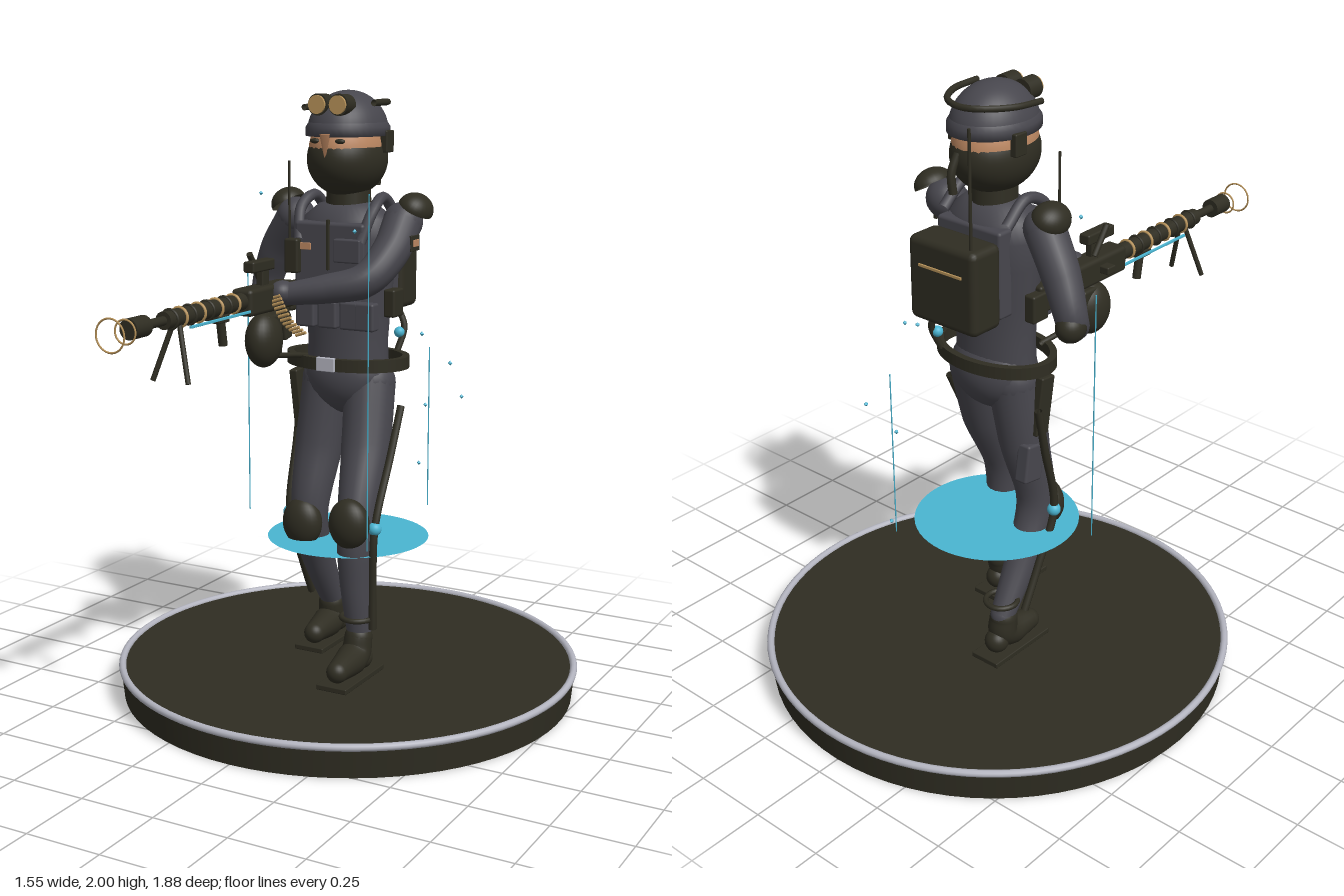
import * as THREE from 'three';
import { RoundedBoxGeometry } from 'three/addons/geometries/RoundedBoxGeometry.js';

export function createModel() {
  const root = new THREE.Group();
  root.name = 'armouredSoldier';
  const mat = (name, color, side = THREE.FrontSide) => {
    const m = new THREE.MeshStandardMaterial({ color, side });
    m.name = name;
    return m;
  };
  const fabric = mat('slateFabric', 0x47464d), olive = mat('darkOlive', 0x2f2d22, THREE.DoubleSide);
  const silver = mat('silver', 0xb4b5c0), gold = mat('brass', 0xb8935a);
  const skin = mat('skin', 0xbd8862), cyan = mat('glowCyan', 0x4ab5d2, THREE.DoubleSide);
  const V = (a) => new THREE.Vector3(...a);

  // Helpers
  const add = (name, geo, m, p = [0, 0, 0], r = [0, 0, 0], s = [1, 1, 1]) => {
    const mesh = new THREE.Mesh(geo, m);
    mesh.name = name;
    mesh.position.set(...p);
    mesh.rotation.set(...r);
    mesh.scale.set(...s);
    root.add(mesh);
    return mesh;
  };
  const box = (name, m, size, p, r) => add(name, new RoundedBoxGeometry(...size, 2, Math.min(...size) * 0.18), m, p, r);
  const ball = (name, m, radii, p, r) => add(name, new THREE.SphereGeometry(1, 28, 18), m, p, r, radii);
  const rod = (name, m, a, b, r1, r2 = r1, n = 14) => {
    const d = V(b).sub(V(a));
    const mesh = add(name, new THREE.CylinderGeometry(r2, r1, d.length(), n), m, V(a).add(V(b)).multiplyScalar(0.5).toArray());
    mesh.quaternion.setFromUnitVectors(new THREE.Vector3(0, 1, 0), d.normalize());
    return mesh;
  };
  const hose = (name, m, pts, r) => add(name, new THREE.TubeGeometry(new THREE.CatmullRomCurve3(pts.map(V)), 28, r, 8), m);
  // Limb: a tube whose radius follows the listed radii, with round ends
  const limb = (name, m, pts, radii) => {
    const curve = new THREE.CatmullRomCurve3(pts.map(V), false, 'centripetal');
    const N = 32, R = 18, geo = new THREE.TubeGeometry(curve, N, 1, R), pos = geo.attributes.position;
    const v = new THREE.Vector3();
    for (let i = 0; i <= N; i++) {
      const c = curve.getPointAt(i / N), f = (i / N) * (radii.length - 1), k = Math.min(Math.floor(f), radii.length - 2);
      const rad = THREE.MathUtils.lerp(radii[k], radii[k + 1], f - k);
      for (let j = 0; j <= R; j++) {
        const q = i * (R + 1) + j;
        v.fromBufferAttribute(pos, q).sub(c).multiplyScalar(rad).add(c);
        pos.setXYZ(q, v.x, v.y, v.z);
      }
    }
    add(name, geo, m);
    [0, pts.length - 1].forEach((i) => {
      const r = i ? radii[radii.length - 1] : radii[0];
      ball(name + 'End', m, [r, r, r], pts[i]);
    });
  };
  const lathe = (name, m, prof, p, s) => add(name, new THREE.LatheGeometry(prof.map((a) => new THREE.Vector2(...a)), 40), m, p, [0, 0, 0], s);

  // Display base and rim
  add('base', new THREE.CylinderGeometry(0.77, 0.76, 0.1, 72), olive, [0, 0.05, -0.163]);
  add('baseRim', new THREE.TorusGeometry(0.765, 0.012, 10, 90), silver, [0, 0.1, -0.163], [Math.PI / 2, 0, 0]);

  // Hovering disc, light beams and motes
  add('glowDisc', new THREE.CircleGeometry(0.27, 56), cyan, [0, 0.53, -0.163], [-Math.PI / 2, 0, 0]);
  [[0.22, 0.58, 1.7, 0.12], [0.138, 0.57, 1.13, -0.49], [-0.36, 0.58, 1.41, -0.12]].forEach(([x, a, b, z]) =>
    rod('lightBeam', cyan, [x, a, z], [x, b, z], 0.002, 0.002, 6));
  [[0.27, 0.975, -0.47], [0.345, 1.14, -0.21], [0.055, 0.69, -0.59], [-0.33, 1.66, -0.16], [0.2, 1.21, -0.3], [0.13, 0.93, -0.48], [0.15, 1.58, 0.08]]
    .forEach((p) => add('mote', new THREE.OctahedronGeometry(0.008), cyan, p));

  // Legs: the left one forward, the right one trailing
  const legs = [
    { s: 1, hip: [0.078, 1.06, -0.165], mid: [0.098, 0.86, -0.1], knee: [0.115, 0.62, 0.0], shin: [0.12, 0.42, 0.005], ankle: [0.125, 0.25, -0.01], foot: 0.055, pad: [0.115, 0.635, 0.045] },
    { s: -1, hip: [-0.078, 1.06, -0.165], mid: [-0.098, 0.84, -0.14], knee: [-0.113, 0.6, -0.1], shin: [-0.117, 0.43, -0.17], ankle: [-0.12, 0.25, -0.275], foot: -0.23, pad: [-0.115, 0.585, -0.055] },
  ];
  for (const L of legs) {
    const x = L.ankle[0], k = L.knee;
    limb('leg', fabric, [L.hip, L.mid, k, L.shin, L.ankle], [0.085, 0.081, 0.064, 0.056, 0.04]);
    ball('kneePad', olive, [0.07, 0.083, 0.052], L.pad);
    // Boot: ankle cuff, toe and flat sole
    limb('boot', olive, [[x, 0.24, L.ankle[2] + 0.005], [x, 0.19, L.foot - 0.04], [x, 0.165, L.foot + 0.085]], [0.046, 0.052, 0.036]);
    ball('bootHeel', olive, [0.04, 0.04, 0.04], [x, 0.165, L.foot - 0.075]);
    box('bootSole', olive, [0.108, 0.018, 0.265], [x, 0.119, L.foot - 0.005]);
    add('ankleRing', new THREE.TorusGeometry(0.052, 0.009, 8, 28), olive, [x, 0.312, L.ankle[2] + (L.s > 0 ? 0.015 : -0.005)], [Math.PI / 2, 0, 0]);
    // Outer brace with a glowing knee joint
    const e = L.s * 0.19, j = L.s > 0 ? [0.01, -0.17, 0.01] : [-0.1, -0.18, -0.24];
    hose('legBrace', olive, [[e, 0.99, j[1]], [e, 0.84, j[1] * 0.6 + j[0] * 0.4], [e, k[1], j[0]], [e * 0.97, 0.42, (j[0] + j[2]) / 2], [e * 0.97, 0.28, j[2]]], 0.013);
    ball('braceJoint', cyan, [0.022, 0.022, 0.022], [e, k[1], j[0]]);
  }
  box('thighHolster', olive, [0.03, 0.2, 0.06], [-0.172, 0.99, -0.14], [0.1, 0, 0.05]);
  box('thighPouch', fabric, [0.05, 0.13, 0.08], [-0.155, 0.8, -0.18], [0.15, 0, 0]);

  // Pelvis and torso
  ball('pelvis', fabric, [0.152, 0.13, 0.115], [0, 1.08, -0.165]);
  lathe('torso', fabric, [[0.145, 1.06], [0.138, 1.2], [0.147, 1.32], [0.162, 1.45], [0.168, 1.54], [0.15, 1.6], [0.1, 1.64], [0.06, 1.65]], [0, 0, -0.158], [1, 1, 0.72]);
  rod('neck', olive, [0, 1.6, -0.16], [0, 1.72, -0.16], 0.075, 0.07, 24);

  // Belt: oval hoop standing clear of the hips, with a buckle
  const oval = new THREE.Shape().absellipse(0, 0, 0.213, 0.148, 0, Math.PI * 2);
  oval.holes.push(new THREE.Path().absellipse(0, 0, 0.19, 0.126, 0, Math.PI * 2));
  add('belt', new THREE.ExtrudeGeometry(oval, { depth: 0.04, bevelEnabled: false, curveSegments: 36 }), olive, [0, 1.155, -0.157], [Math.PI / 2, 0, 0]);
  box('buckle', silver, [0.065, 0.045, 0.015], [0, 1.137, -0.008]);

  // Vest plates, pouches and straps
  box('chestPlate', fabric, [0.25, 0.24, 0.06], [0, 1.47, -0.055]);
  box('backPlate', fabric, [0.25, 0.28, 0.06], [0, 1.45, -0.25]);
  box('chestPouch', fabric, [0.095, 0.075, 0.03], [0.075, 1.505, -0.018]);
  box('radioPouch', olive, [0.05, 0.11, 0.04], [-0.125, 1.48, -0.02]);
  box('chestPatch', skin, [0.045, 0.022, 0.008], [-0.085, 1.512, -0.022]);
  box('chestCable', olive, [0.008, 0.16, 0.012], [0, 1.52, -0.022]);
  rod('chestAntenna', olive, [-0.145, 1.5, -0.03], [-0.145, 1.78, -0.03], 0.004);
  [-0.09, -0.01, 0.07, 0.125].forEach((x) => box('waistPouch', fabric, [0.068, 0.09, 0.045], [x, 1.295, -0.05]));
  box('magazinePouch', olive, [0.11, 0.07, 0.05], [0.08, 1.4, -0.025]);
  for (const s of [1, -1]) {
    hose('shoulderStrap', fabric, [[s * 0.11, 1.53, -0.03], [s * 0.13, 1.63, -0.08], [s * 0.125, 1.665, -0.16], [s * 0.125, 1.6, -0.25]], 0.018);
    box('sidePouch', olive, [0.04, 0.09, 0.07], [s * 0.165, 1.33, -0.16]);
    // Tilted shoulder shell
    add('shoulderPad', new THREE.SphereGeometry(1, 26, 12, 0, Math.PI * 2, 0, Math.PI / 2), olive, [s * 0.232, 1.632, -0.175], [0, 0, -s * 0.55], [0.056, 0.05, 0.068]);
    ball('shoulderGlow', cyan, [0.03, 0.014, 0.035], [s * 0.215, 1.625, -0.17], [0, 0, -s * 0.55]);
  }

  // Arms and hands
  limb('rightArm', fabric, [[-0.195, 1.59, -0.16], [-0.285, 1.47, -0.19], [-0.335, 1.345, -0.2], [-0.26, 1.29, -0.1], [-0.17, 1.275, -0.01]], [0.064, 0.06, 0.05, 0.045, 0.034]);
  ball('elbowPad', olive, [0.045, 0.048, 0.052], [-0.343, 1.335, -0.215]);
  ball('rightHand', olive, [0.035, 0.042, 0.045], [-0.16, 1.275, 0.01]);
  limb('leftArm', fabric, [[0.195, 1.59, -0.16], [0.19, 1.5, -0.08], [0.145, 1.42, 0.0], [0.03, 1.39, 0.045], [-0.09, 1.37, 0.075]], [0.064, 0.06, 0.054, 0.046, 0.036]);
  ball('leftHand', fabric, [0.04, 0.038, 0.045], [-0.105, 1.375, 0.085]);
  box('armPatch', olive, [0.012, 0.05, 0.06], [0.252, 1.53, -0.125]);
  box('armPatchInset', skin, [0.008, 0.022, 0.035], [0.258, 1.53, -0.125]);
  box('armLight', cyan, [0.015, 0.035, 0.015], [0.228, 1.53, -0.07]);

  // Backpack
  box('backpack', olive, [0.265, 0.27, 0.125], [0.005, 1.425, -0.335]);
  box('backpackTrim', gold, [0.17, 0.009, 0.008], [0.005, 1.475, -0.398]);
  rod('packAntenna', olive, [-0.094, 1.54, -0.37], [-0.094, 1.925, -0.37], 0.005);
  hose('packHose', olive, [[0.1, 1.3, -0.31], [0.13, 1.23, -0.31], [0.12, 1.15, -0.28]], 0.011);
  ball('packLight', cyan, [0.018, 0.018, 0.018], [0.12, 1.21, -0.295]);

  // Head, face mask and nose
  ball('head', skin, [0.117, 0.14, 0.147], [0, 1.81, -0.152]);
  add('faceMask', new THREE.SphereGeometry(1, 36, 20, 0, Math.PI * 2, Math.acos(0.32), Math.PI - Math.acos(0.32)), olive, [0, 1.785, -0.152], [0, 0, 0], [0.123, 0.122, 0.153]);
  add('nose', new THREE.ConeGeometry(0.02, 0.085, 4), skin, [0, 1.825, -0.002], [Math.PI, 0, 0]);
  hose('maskTie', olive, [[0.02, 1.81, -0.295], [0.025, 1.75, -0.318], [0.02, 1.69, -0.318]], 0.013);

  // Helmet, ear cups, goggles and strap
  add('helmet', new THREE.SphereGeometry(1, 40, 16, 0, Math.PI * 2, 0, Math.PI / 2), fabric, [0, 1.868, -0.155], [0, 0, 0], [0.124, 0.132, 0.15]);
  lathe('helmetBrim', fabric, [[0.9, 1.858], [1.04, 1.858], [1.04, 1.885], [0.97, 1.9]], [0, 0, -0.155], [0.124, 1, 0.15]);
  for (const s of [1, -1]) {
    ball('eye', olive, [0.017, 0.008, 0.01], [s * 0.045, 1.845, -0.018]);
    box('earCup', olive, [0.025, 0.07, 0.05], [s * 0.122, 1.84, -0.19]);
    rod('goggleFrame', olive, [s * 0.037, 1.955, -0.075], [s * 0.037, 1.957, -0.02], 0.034, 0.034, 24);
    rod('goggleLens', gold, [s * 0.037, 1.957, -0.022], [s * 0.037, 1.957, -0.012], 0.029, 0.029, 24);
  }
  hose('goggleStrap', olive, [[-0.125, 1.945, -0.09], [-0.115, 1.95, -0.2], [-0.06, 1.955, -0.29], [0, 1.955, -0.308], [0.06, 1.96, -0.29], [0.115, 1.962, -0.2], [0.125, 1.962, -0.09]], 0.01);

  // Machine gun, along z
  const gx = -0.15, gy = 1.365;
  const along = (name, m, a, b, r) => rod(name, m, [gx, gy, a], [gx, gy, b], r, r, 18);
  box('gunReceiver', olive, [0.075, 0.085, 0.28], [gx, gy - 0.005, 0.12]);
  box('gunStock', olive, [0.05, 0.09, 0.14], [gx, gy - 0.02, -0.08]);
  along('barrelShroud', olive, 0.24, 0.68, 0.027);
  along('barrel', olive, 0.66, 0.8, 0.014);
  along('muzzleBrake', olive, 0.775, 0.85, 0.031);
  for (let i = 0; i < 8; i++) {
    add('barrelRing', new THREE.TorusGeometry(0.028, 0.005, 8, 24), i % 2 ? olive : gold, [gx, gy, 0.31 + i * 0.048]);
  }
  add('muzzleRing', new THREE.TorusGeometry(0.035, 0.003, 6, 32), gold, [gx, gy - 0.005, 0.865]);
  add('muzzleRing', new THREE.TorusGeometry(0.048, 0.003, 6, 36), gold, [gx, gy - 0.005, 0.935]);
  for (const s of [1, -1]) {
    box('barrelLight', cyan, [0.008, 0.008, 0.33], [gx + s * 0.03, 1.335, 0.42]);
    rod('bipodLeg', olive, [gx + s * 0.012, 1.345, 0.615], [gx + s * 0.062, 1.18, 0.65], 0.008);
  }
  rod('foreGrip', olive, [gx, 1.335, 0.38], [gx, 1.245, 0.365], 0.014);
  box('foreGripMount', olive, [0.04, 0.025, 0.06], [gx, 1.33, 0.385]);
  box('pistolGrip', olive, [0.04, 0.12, 0.045], [gx, 1.27, 0.01], [0.2, 0, 0]);
  box('scope', olive, [0.04, 0.035, 0.13], [gx, 1.465, 0.15]);
  box('scopeMount', olive, [0.025, 0.06, 0.04], [gx, 1.425, 0.13]);
  rod('carryHandle', olive, [gx - 0.03, 1.415, 0.1], [gx - 0.03, 1.5, 0.16], 0.01);
  box('cockingLever', olive, [0.07, 0.025, 0.04], [gx - 0.035, gy, 0.14]);

  // Ammunition drum, linked belt and sling
  ball('ammoDrum', olive, [0.055, 0.088, 0.075], [gx, 1.225, 0.125]);
  box('ammoBox', olive, [0.06, 0.14, 0.09], [gx, 1.235, 0.1]);
  const feed = new THREE.CatmullRomCurve3([[-0.115, 1.375, 0.12], [-0.085, 1.34, 0.14], [-0.06, 1.29, 0.13], [-0.03, 1.25, 0.1]].map(V));
  for (let i = 0; i < 13; i++) {
    const p = feed.getPointAt(i / 12).toArray();
    rod('cartridge', gold, [p[0] - 0.018, p[1] - 0.006, p[2]], [p[0] + 0.018, p[1] + 0.006, p[2]], 0.005, 0.005, 8);
  }
  hose('sling', olive, [[gx, 1.21, 0.19], [-0.13, 1.175, 0.1], [-0.11, 1.16, 0.0], [-0.1, 1.15, -0.06]], 0.009);
  return root;
}
